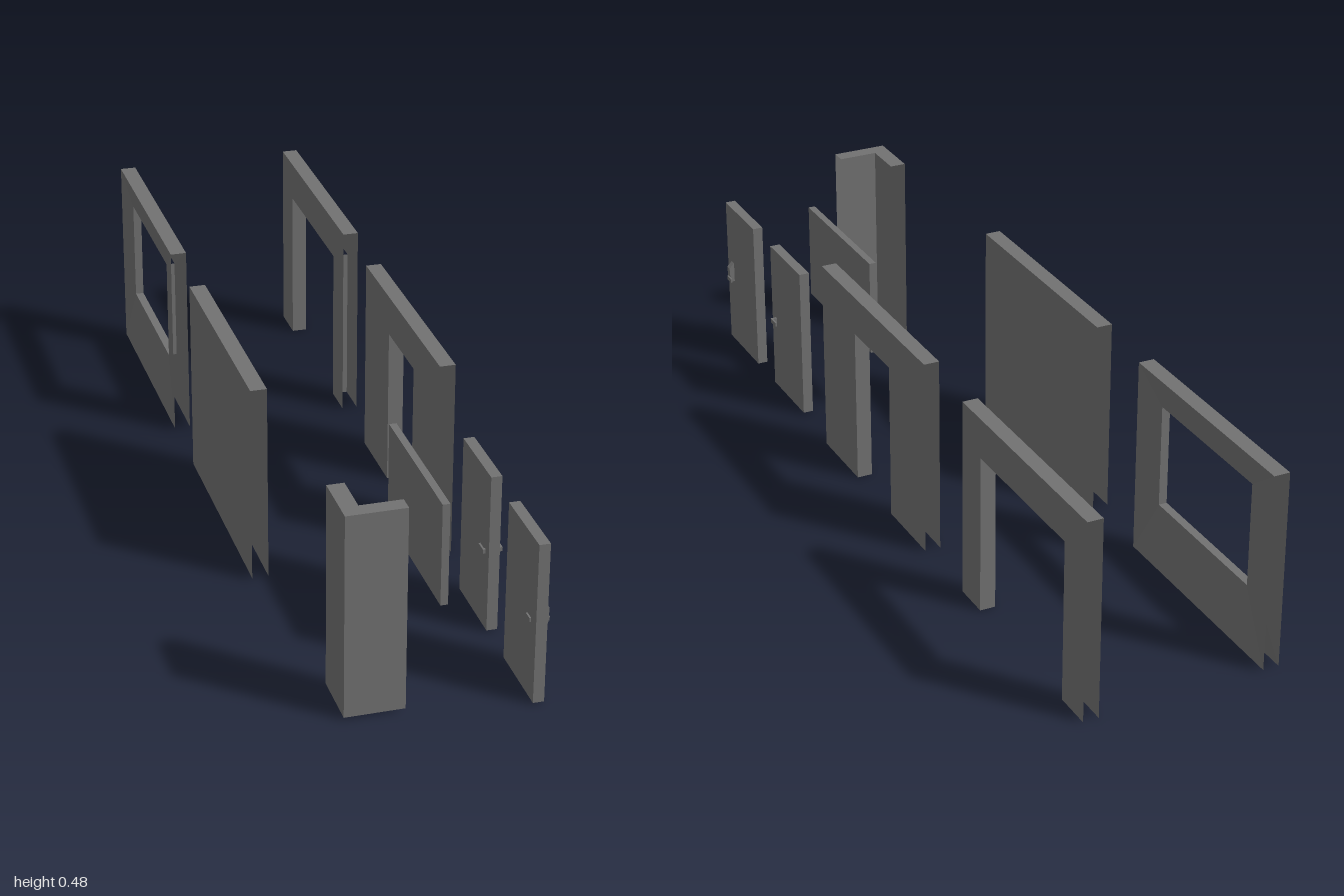
import * as THREE from 'three';

const shellMat = new THREE.MeshStandardMaterial({ color: 0x717171, side: THREE.DoubleSide, flatShading: true });
const solidMat = new THREE.MeshStandardMaterial({ color: 0x717171, flatShading: true });

// Mesh from a list of four-cornered faces, corners counter-clockwise
function quadMesh(name, quads) {
  const pos = [];
  for (const [a, b, c, d] of quads) pos.push(...a, ...b, ...c, ...a, ...c, ...d);
  const geo = new THREE.BufferGeometry();
  geo.setAttribute('position', new THREE.Float32BufferAttribute(pos, 3));
  geo.computeVertexNormals();
  const mesh = new THREE.Mesh(geo, shellMat);
  mesh.name = name;
  return mesh;
}

// Box given by its limits on each axis
function box(name, [x0, x1], [y0, y1], [z0, z1]) {
  const mesh = new THREE.Mesh(new THREE.BoxGeometry(x1 - x0, y1 - y0, z1 - z0), solidMat);
  mesh.name = name;
  mesh.position.set((x0 + x1) / 2, (y0 + y1) / 2, (z0 + z1) / 2);
  return mesh;
}

// Wall shell, open at its ends and underside, with an optional opening;
// the opening's own x limits may be narrower, thinning the wall towards it
function wall(name, [x0, x1], [y0, y1], [z0, z1], opening) {
  const quads = [[[x0, y1, z1], [x1, y1, z1], [x1, y1, z0], [x0, y1, z0]]];
  const outer = [[y0, z0], [y1, z0], [y1, z1], [y0, z1]];
  if (!opening) {
    const side = (x) => outer.map(([y, z]) => [x, y, z]);
    quads.push(side(x1), side(x0).reverse());
    return quadMesh(name, quads);
  }
  const { x: [l, r], y: [b, t], z: [n, f] } = opening;
  const inner = [[b, n], [t, n], [t, f], [b, f]];
  const strips = b > y0 ? 4 : 3; // a doorway has no sill
  for (let i = 0; i < strips; i++) {
    const j = (i + 1) % 4;
    const side = (xo, xi) => [[xo, ...outer[i]], [xo, ...outer[j]], [xi, ...inner[j]], [xi, ...inner[i]]];
    quads.push(side(x1, r), side(x0, l).reverse());
    // jambs and sill; the lintel stays open underneath
    if (i !== 1) quads.push([[l, ...inner[i]], [r, ...inner[i]], [r, ...inner[j]], [l, ...inner[j]]]);
  }
  return quadMesh(name, quads);
}

// L-shaped corner shell, open at both arm ends and underneath
function cornerPost() {
  const x0 = -0.202, xi = -0.163, x1 = -0.067, z0 = 0.813, zi = 0.913, z1 = 0.95;
  const y0 = 0.005, y1 = 0.484, quads = [];
  const paths = [[[x0, z0], [x0, z1], [x1, z1]], [[x1, zi], [xi, zi], [xi, z0]]];
  for (const path of paths) {
    for (let i = 0; i < 2; i++) {
      const [[px, pz], [qx, qz]] = [path[i], path[i + 1]];
      quads.push([[px, y0, pz], [qx, y0, qz], [qx, y1, qz], [px, y1, pz]]);
    }
  }
  const top = (a, b, c, d) => quads.push([[a, y1, d], [b, y1, d], [b, y1, c], [a, y1, c]]);
  top(x0, xi, z0, z1);
  top(xi, x1, zi, z1);
  return quadMesh('cornerWall', quads);
}

// Lever handle: stem and bar on one face of a door
function lever(x, dir, y, z, reach, depth) {
  const g = new THREE.Group();
  g.name = 'leverHandle';
  const span = (a, b) => [Math.min(a, b), Math.max(a, b)];
  const tip = x + dir * depth;
  g.add(box('leverStem', span(x, tip), [y - 0.005, y + 0.005], [z - 0.003, z + 0.003]));
  g.add(box('leverBar', span(tip, tip - dir * 0.004), [y - 0.005, y + 0.005], span(z + 0.003, z - reach)));
  return g;
}

// Vertical pull with a sloped top
function pullHandle(x, z) {
  const s = new THREE.Shape();
  [[0, 0.177], [0.011, 0.177], [0.013, 0.215], [0, 0.228]].forEach(([a, b], i) =>
    i ? s.lineTo(a, b) : s.moveTo(a, b));
  const mesh = new THREE.Mesh(new THREE.ExtrudeGeometry(s, { depth: 0.016, bevelEnabled: false }), solidMat);
  mesh.name = 'handlePlate';
  mesh.position.set(x, 0, z);
  return mesh;
}

export function createModel() {
  const root = new THREE.Group();
  root.name = 'buildingKit';

  // Walls
  const left = [-0.241, -0.203], right = [0.195, 0.232];
  const leftY = [0.004, 0.478], rightY = [0, 0.48];
  const back = [-1, -0.426], middle = [-0.231, 0.343];
  root.add(wall('windowWall', left, leftY, back, { x: [-0.231, -0.211], y: [0.162, 0.41], z: [-0.905, -0.522] }));
  root.add(wall('plainWall', left, leftY, middle));
  root.add(wall('wideDoorwayWall', right, rightY, back, { x: right, y: [0, 0.385], z: [-0.905, -0.515] }));
  root.add(wall('doorwayWall', right, rightY, middle, { x: right, y: [0, 0.385], z: [-0.04, 0.153] }));
  root.add(cornerPost());

  // Window panel
  root.add(box('windowPanel', [0.046, 0.063], [0.165, 0.408], [0.446, 0.826]));

  // Doors with their handles
  const doorX = [0.197, 0.222], doorY = [0.003, 0.384];
  const frontDoor = new THREE.Group();
  frontDoor.name = 'frontDoor';
  frontDoor.add(box('frontDoorLeaf', doorX, doorY, [0.812, 1]));
  frontDoor.add(pullHandle(0.222, 0.959), lever(0.222, 1, 0.186, 0.967, 0.022, 0.016));
  frontDoor.add(lever(0.197, -1, 0.189, 0.967, 0.02, 0.004));
  root.add(frontDoor);

  const innerDoor = new THREE.Group();
  innerDoor.name = 'innerDoor';
  innerDoor.add(box('innerDoorLeaf', doorX, doorY, [0.51, 0.698]));
  innerDoor.add(lever(0.222, 1, 0.191, 0.674, 0.028, 0.014), lever(0.197, -1, 0.191, 0.674, 0.028, 0.006));
  root.add(innerDoor);

  return root;
}
